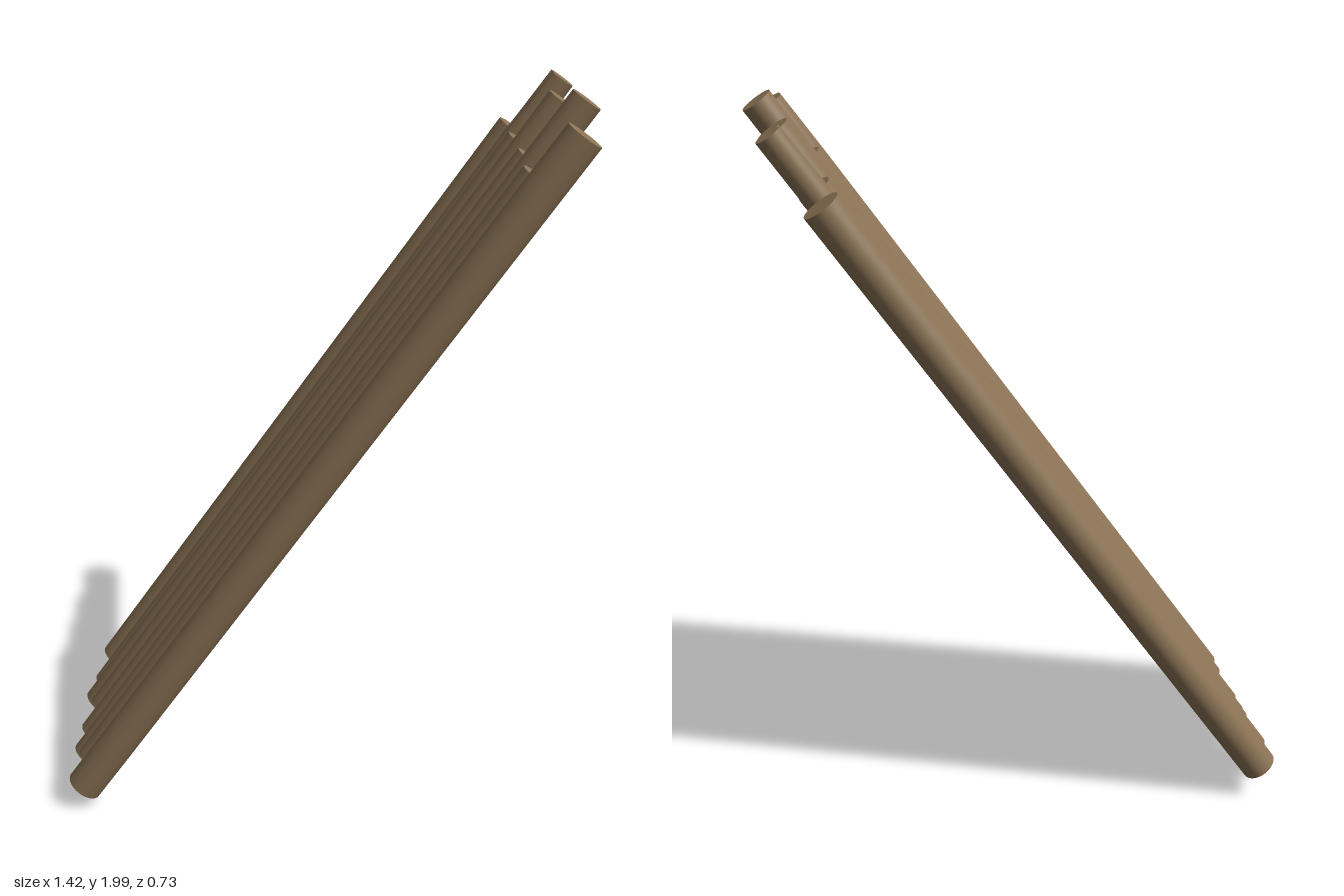
import * as THREE from 'three';

const TILT = 0.606;    // lean of the whole row away from vertical
const MID_Y = 1.005;   // height of the row's centre

// z centre, radius, lowest y, highest y, sideways bow, worn groove depth at the ends
const POLES = [
  [-0.317, 0.050, 0.065, 1.83, 0.000, 0.00],
  [-0.227, 0.038, 0.030, 1.98, 0.003, 0.35],
  [-0.140, 0.047, 0.010, 1.83, 0.005, 0.08],
  [-0.050, 0.046, 0.050, 1.96, 0.004, 0.00],
  [0.037, 0.043, 0.020, 1.83, 0.003, 0.08],
  [0.124, 0.043, 0.008, 2.00, -0.002, 0.00],
  [0.216, 0.048, 0.050, 1.83, 0.000, 0.00],
  [0.316, 0.051, 0.030, 1.96, 0.000, 0.05],
];

function poleGeometry(radius, length, bow, groove) {
  const geometry = new THREE.CylinderGeometry(radius, radius, length, 40, 24);
  const p = geometry.attributes.position;
  for (let i = 0; i < p.count; i++) {
    const x = p.getX(i), y = p.getY(i), z = p.getZ(i);
    const t = y / (length / 2);
    // Groove on the upper side at the top end and on the underside at the foot
    const side = -Math.sign(t) * x / radius;
    const across = side > 0 ? Math.exp(-((z / (radius * 0.35)) ** 2)) : 0;
    const along = THREE.MathUtils.smoothstep(Math.abs(t), 0.85, 1);
    const k = 1 - groove * across * along;
    // Gentle bow along the length
    p.setXYZ(i, x * k, y, z * k + bow * (1 - 2 * t * t));
  }
  geometry.computeVertexNormals();
  return geometry;
}

export function createModel() {
  const wood = new THREE.MeshStandardMaterial({ color: 0x8b7355 });
  wood.name = 'brownWood';

  const model = new THREE.Group();
  model.name = 'leaningPoles';

  // Row of round poles sharing one sloping plane
  const row = new THREE.Group();
  row.name = 'poleRow';
  row.position.y = MID_Y;
  row.rotation.z = -TILT;
  model.add(row);

  POLES.forEach(([z, radius, low, high, bow, groove], i) => {
    // Distances along the slope of the two end centres
    const rim = radius * Math.sin(TILT);
    const foot = (low + rim - MID_Y) / Math.cos(TILT);
    const top = (high - rim - MID_Y) / Math.cos(TILT);
    const pole = new THREE.Mesh(poleGeometry(radius, top - foot, bow, groove), wood);
    pole.name = `pole${i + 1}`;
    pole.position.set(0, (foot + top) / 2, z);
    row.add(pole);
  });

  return model;
}
